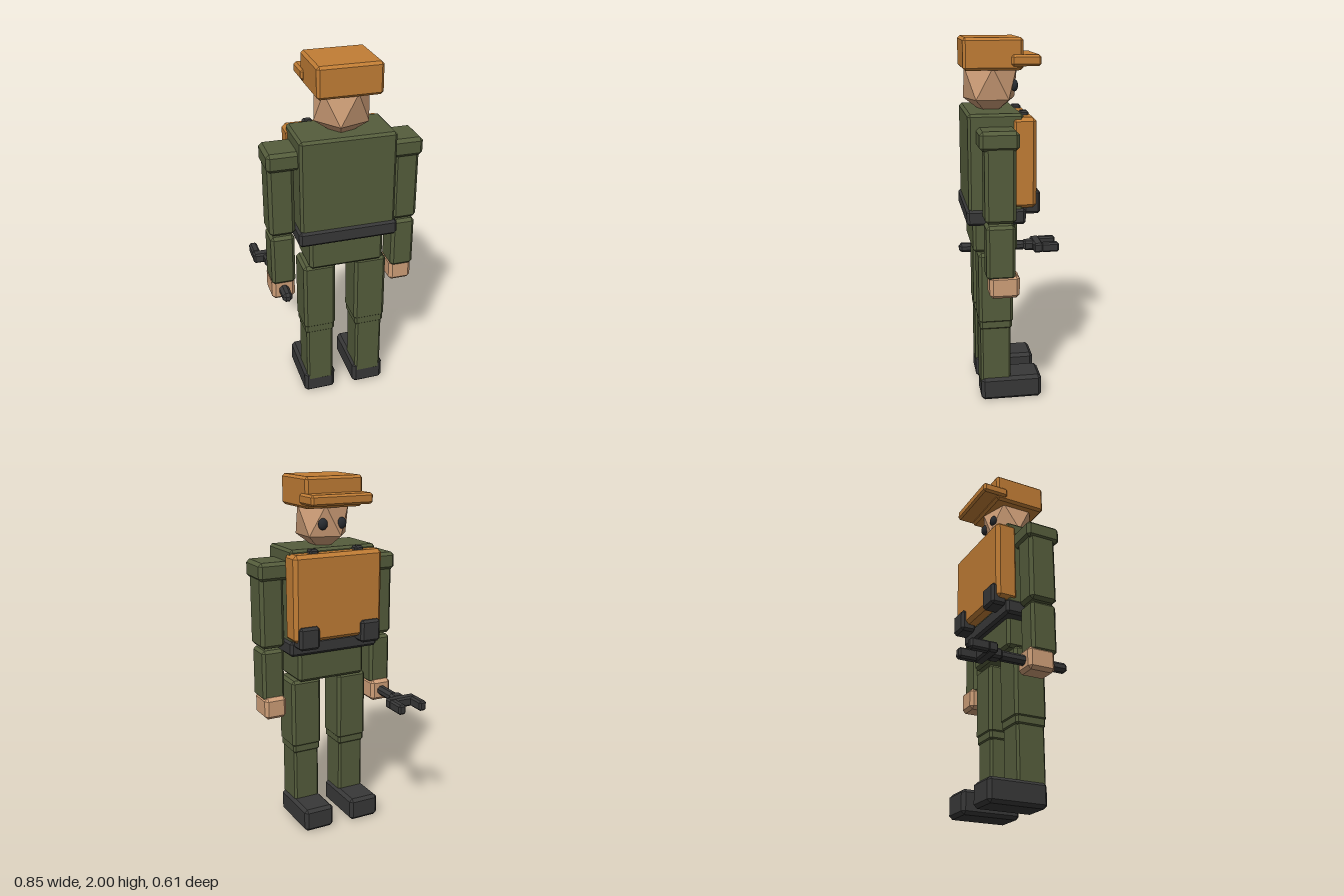
import * as THREE from 'three';
import { ConvexGeometry } from 'three/addons/geometries/ConvexGeometry.js';

const material = (name, color) => {
  const m = new THREE.MeshStandardMaterial({ color });
  m.name = name;
  return m;
};

// Box with flat 45 degree bevels on every edge
function bevelBox(size, bevel) {
  const box = new THREE.BoxGeometry(1, 1, 1, 3, 3, 3);
  const p = box.attributes.position;
  for (let i = 0; i < p.count; i++) {
    const c = [p.getX(i), p.getY(i), p.getZ(i)];
    const outer = c.filter((v) => Math.abs(v) > 0.4).length;
    const inset = bevel * [0, 0, 1 / 2, 2 / 3][outer];
    const q = c.map((v, k) =>
      Math.sign(v) * (size[k] / 2 - (Math.abs(v) > 0.4 ? inset : bevel)));
    p.setXYZ(i, ...q);
  }
  const flat = box.toNonIndexed();
  flat.computeVertexNormals();
  return flat;
}

export function createModel() {
  const model = new THREE.Group();
  model.name = 'workerFigure';
  const green = material('olive green cloth', 0x555d3c);
  const orange = material('orange canvas', 0xc17d35);
  const dark = material('dark grey', 0x383838);
  const skin = material('skin', 0xcf9f78);
  const eyeBlack = material('eye black', 0x282c31);
  const CX = 0.004; // the body's middle line

  const add = (name, geometry, mat) => {
    const mesh = new THREE.Mesh(geometry, mat);
    mesh.name = name;
    model.add(mesh);
    return mesh;
  };
  // Beveled box given by its ranges along x, y and z
  const block = (name, mat, x, y, z, bevel = 0.014) => {
    const r = [x, y, z];
    const mesh = add(name, bevelBox(r.map(([a, b]) => b - a), bevel), mat);
    mesh.position.set(...r.map(([a, b]) => (a + b) / 2));
  };
  // The same block on both sides of the middle line
  const pair = (name, mat, [a, b], y, z, bevel) => {
    block(name + 'Left', mat, [CX + a, CX + b], y, z, bevel);
    block(name + 'Right', mat, [CX - b, CX - a], y, z, bevel);
  };

  // Cap
  block('capCrown', orange, [-0.167, 0.175], [1.833, 2], [-0.013, 0.302]);
  block('capBrim', orange, [-0.18, 0.187], [1.854, 1.913], [-0.106, 0.052], 0.012);

  // Faceted head: two poles and two staggered rings of five
  const points = [new THREE.Vector3(0, 0.19, 0), new THREE.Vector3(0, -0.19, 0)];
  for (let i = 0; i < 5; i++) {
    const a = (i * 2 * Math.PI) / 5;
    const x = 0.148 * Math.cos(a), z = 0.148 * Math.sin(a);
    points.push(new THREE.Vector3(x, 0.085, z), new THREE.Vector3(-x, -0.085, z));
  }
  add('head', new ConvexGeometry(points), skin).position.set(CX, 1.761, 0.145);

  // Eyes
  for (const s of [1, -1]) {
    const geometry = new THREE.IcosahedronGeometry(1, 1);
    geometry.scale(0.028, 0.033, 0.02);
    add(s > 0 ? 'eyeLeft' : 'eyeRight', geometry, eyeBlack)
      .position.set(CX + s * 0.057, 1.746, 0.019);
  }

  // Torso, belt and hips
  block('torso', green, [-0.256, 0.262], [1.07, 1.622], [0, 0.291]);
  block('belt', dark, [-0.268, 0.274], [1.034, 1.12], [-0.011, 0.303]);
  block('hips', green, [-0.203, 0.209], [0.867, 1.06], [0.026, 0.266], 0.016);

  // Chest pack with clips and pouches
  block('chestPack', orange, [-0.264, 0.273], [1.122, 1.602], [-0.068, 0.062], 0.02);
  pair('packClip', dark, [0.11, 0.163], [1.58, 1.624], [-0.042, 0.01], 0.01);
  pair('pouch', dark, [0.128, 0.25], [1.085, 1.212], [-0.092, 0], 0.014);

  // Arms
  pair('shoulder', green, [0.24, 0.42], [1.455, 1.556], [0.045, 0.249], 0.018);
  pair('upperArm', green, [0.272, 0.411], [1.077, 1.5], [0.06, 0.223], 0.018);
  pair('forearm', green, [0.276, 0.406], [0.775, 1.066], [0.064, 0.217], 0.016);
  pair('hand', skin, [0.276, 0.405], [0.67, 0.796], [0.042, 0.201], 0.018);

  // Legs and boots
  pair('thigh', green, [0.056, 0.236], [0.463, 0.867], [0.052, 0.241], 0.016);
  pair('knee', green, [0.062, 0.23], [0.425, 0.49], [0.058, 0.237], 0.012);
  pair('shin', green, [0.069, 0.223], [0.08, 0.45], [0.065, 0.233], 0.012);
  pair('boot', dark, [0.056, 0.238], [0, 0.134], [-0.108, 0.232], 0.018);

  // Forked tool in the right hand
  const toolY = [0.702, 0.76];
  block('toolShaft', dark, [-0.364, -0.311], [0.704, 0.758], [-0.11, 0.3], 0.016);
  block('toolCollar', dark, [-0.374, -0.301], toolY, [-0.165, -0.094], 0.012);
  block('toolCrossbar', dark, [-0.429, -0.248], toolY, [-0.207, -0.149], 0.01);
  block('toolProngRight', dark, [-0.429, -0.383], toolY, [-0.305, -0.195], 0.01);
  block('toolProngLeft', dark, [-0.294, -0.248], toolY, [-0.305, -0.195], 0.01);

  return model;
}
